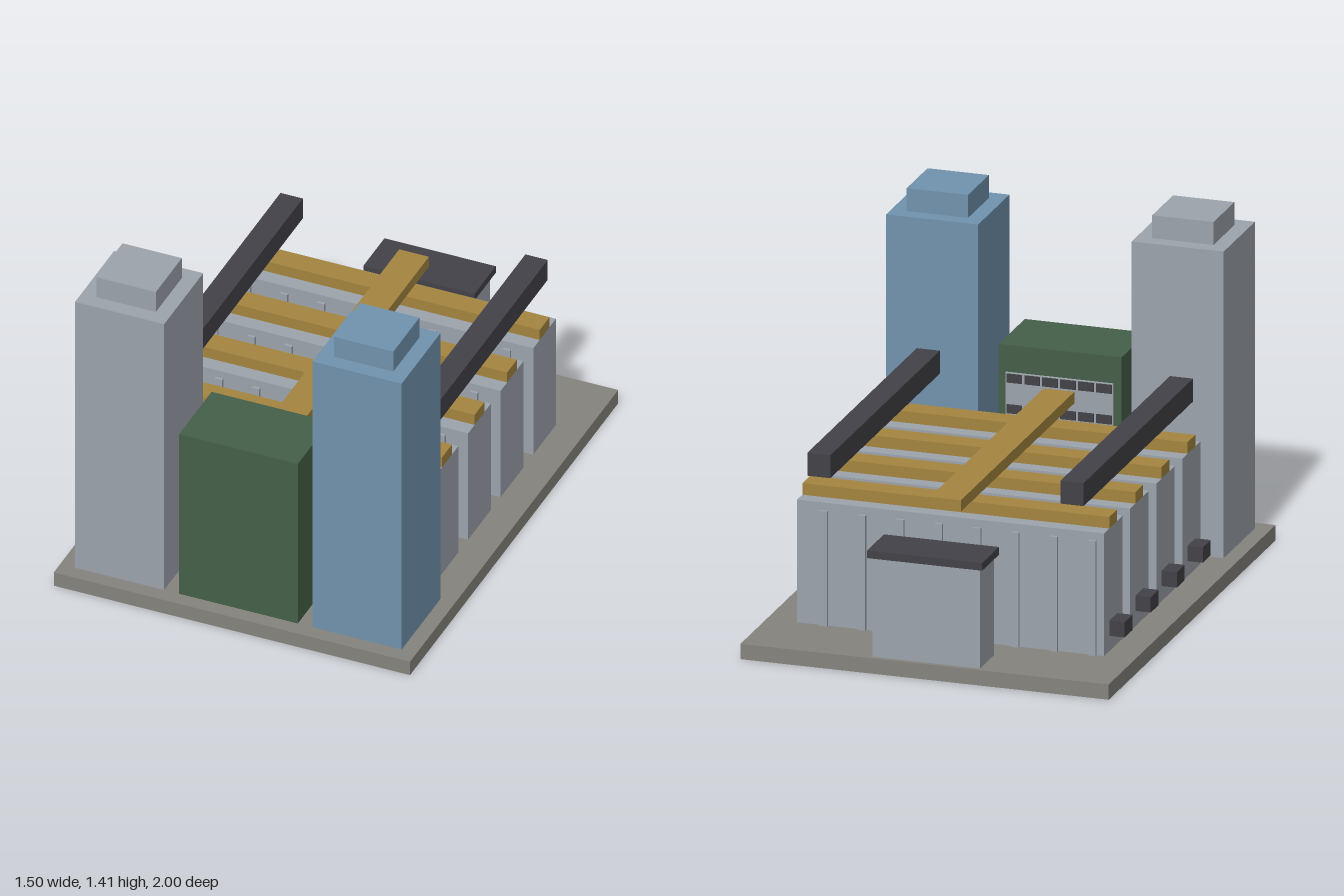
import * as THREE from 'three';

const mat = (name, color) => {
  const m = new THREE.MeshStandardMaterial({ color });
  m.name = name;
  return m;
};

export function createModel() {
  const model = new THREE.Group();
  model.name = 'circuitBoard';
  const stone = mat('stone', 0x86847d);
  const grey = mat('grey', 0x9da4ad);
  const blue = mat('blue', 0x7193ae);
  const green = mat('green', 0x456049);
  const gold = mat('gold', 0xa58540);
  const dark = mat('dark', 0x434248);

  // Box given by its extents on each axis
  const block = (name, material, [x0, x1], [y0, y1], [z0, z1], parent = model) => {
    const mesh = new THREE.Mesh(new THREE.BoxGeometry(x1 - x0, y1 - y0, z1 - z0), material);
    mesh.position.set((x0 + x1) / 2, (y0 + y1) / 2, (z0 + z1) / 2);
    mesh.name = name;
    parent.add(mesh);
  };
  const group = (name) => {
    const g = new THREE.Group();
    g.name = name;
    model.add(g);
    return g;
  };

  const floor = 0.0625;
  block('base', stone, [-0.75, 0.75], [0, floor], [-1, 1]);

  // Two front towers with stepped caps
  for (const [name, x, m] of [['rightTower', -0.5, grey], ['leftTower', 0.5, blue]]) {
    const tower = group(name);
    block('towerBody', m, [x - 0.1875, x + 0.1875], [floor, 1.3125], [0.5625, 0.9375], tower);
    block('towerCap', m, [x - 0.125, x + 0.125], [1.3125, 1.406], [0.625, 0.875], tower);
  }

  // Front cabinet with a slotted panel on its back
  const cabinet = group('cabinet');
  block('cabinetBody', green, [-0.25, 0.25], [floor, 0.8125], [0.625, 0.9375], cabinet);
  block('backPanel', grey, [-0.219, 0.219], [0.1, 0.703], [0.612, 0.625], cabinet);
  for (let row = 0; row < 5; row++) {
    const y = 0.165 + row * 0.125;
    for (let i = 0; i < 6; i++) {
      const x = -0.215 + i * 0.073;
      block('panelSlot', dark, [x, x + 0.063], [y, y + 0.036], [0.607, 0.612], cabinet);
    }
  }

  // Four ribbed halls, each with a roof bar and a low side box
  for (let i = 0; i < 4; i++) {
    const z = 0.3594 - i * 0.3125;
    const hall = group('hall');
    block('hallBody', grey, [-0.625, 0.625], [floor, 0.5625], [z - 0.109, z + 0.109], hall);
    block('roofBar', gold, [-0.625, 0.625], [0.5625, 0.6094], [z - 0.047, z + 0.047], hall);
    block('sideBox', dark, [-0.6875, -0.625], [0.125, 0.1875], [z - 0.047, z + 0.047], hall);
    for (let k = 0; k < 8; k++) {
      const x = -0.578 + k * 0.15625;
      for (const s of [-1, 1]) {
        const zr = z + s * 0.113;
        block('rib', grey, [x - 0.0156, x + 0.0156], [floor, 0.531], [zr - 0.008, zr + 0.008], hall);
      }
    }
  }

  // Long beams above the halls
  block('centreBeam', gold, [-0.0625, 0.0625], [0.6094, 0.656], [-0.75, 0.625]);
  for (const x of [-0.5156, 0.5156]) {
    block('sideBeam', dark, [x - 0.047, x + 0.047], [0.6875, 0.781], [-0.75, 0.57]);
  }

  // Rear shed with an overhanging roof
  const shed = group('shed');
  block('shedBody', grey, [-0.219, 0.219], [floor, 0.469], [-0.981, -0.813], shed);
  block('shedRoof', dark, [-0.2344, 0.2344], [0.469, 0.5], [-1, -0.797], shed);

  return model;
}
